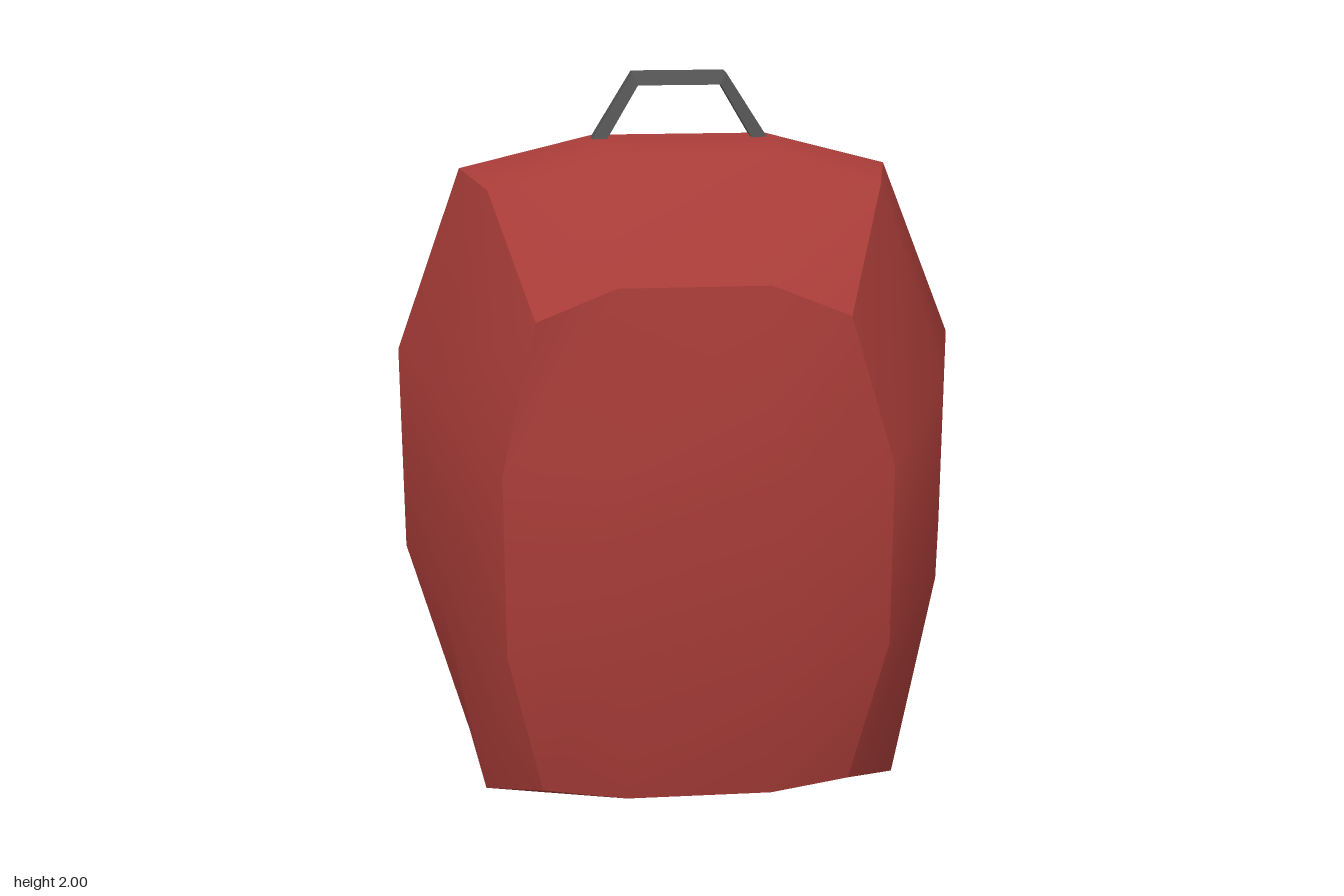
import * as THREE from 'three';

const red = new THREE.MeshStandardMaterial({ color: 0xa83c38 });
const dark = new THREE.MeshStandardMaterial({ color: 0x555555 });

// Patch of quads through rows of points; flat or smooth normals
function patch(name, rows, material, flat = false) {
  const cols = rows[0].length;
  const index = [];
  for (let r = 0; r < rows.length - 1; r++) {
    for (let c = 0; c < cols - 1; c++) {
      const a = r * cols + c, b = a + 1, d = a + cols, e = d + 1;
      index.push(a, b, e, a, e, d);
    }
  }
  let geo = new THREE.BufferGeometry();
  geo.setAttribute('position', new THREE.Float32BufferAttribute(rows.flat(2), 3));
  geo.setIndex(index);
  if (flat) geo = geo.toNonIndexed();
  geo.computeVertexNormals();
  const mesh = new THREE.Mesh(geo, material);
  mesh.name = name;
  return mesh;
}

// Bent band with a trapezoid section: the outer face is narrower than the inner
function band(name, outer, inner, wOuter, wInner, place) {
  const rows = outer.map((o, i) => {
    const n = inner[i];
    const ring = [place(o, wOuter), place(o, -wOuter), place(n, -wInner), place(n, wInner)];
    return [...ring, ring[0]];
  });
  return patch(name, rows, dark, true);
}

function buildBody() {
  const body = new THREE.Group();
  body.name = 'body';
  const backZ = -0.285;

  // Half outline per level, from back corner round to the front: [x, y, z]
  const levels = [
    [[0.58, 0, backZ], [0.64, 0, -0.15], [0.59, 0, 0.3], [0.43, 0.07, 0.47], [0.2, 0.075, 0.55]],
    [[0.735, 0.57, backZ], [0.81, 0.61, -0.155], [0.7, 0.6, 0.3], [0.52, 0.51, 0.555], [0.21, 0.53, 0.63]],
    [[0.735, 1.14, backZ], [0.81, 1.21, -0.155], [0.7, 1.2, 0.3], [0.52, 1.02, 0.555], [0.21, 1.06, 0.63]],
    [[0.55, 1.61, backZ], [0.605, 1.73, -0.08], [0.525, 1.73, 0.3], [0.41, 1.43, 0.555], [0.2, 1.515, 0.555]],
  ];
  // Full outline, right to left; the right rear edge is straight and the top leans slightly
  const rings = levels.map((half, r) => {
    const shift = r === 3 ? -0.015 : 0;
    const right = half.map(([x, y, z], i) => [-x + shift, y, i === 1 ? -0.085 : z]);
    const left = half.map(([x, y, z]) => [x + shift, y, z]).reverse();
    return [...right, ...left];
  });
  const slice = (a, b) => rings.map((ring) => ring.slice(a, b));
  const [base, , , top] = rings;
  const across = (ring, i, x, y, z) => [ring[i], [-x, y, z], [x, y, z], ring[9 - i]];

  // Front and sides
  body.add(patch('frontPanel', slice(3, 7), red));
  body.add(patch('rightSide', slice(1, 4), red));
  body.add(patch('leftSide', slice(6, 9), red));

  // Top, running from the front brow to the rear edge
  const rearEdge = across(top, 1, 0.245, 1.82, -0.08);
  body.add(patch('topPanel', [top.slice(3, 7), across(top, 2, 0.22, 1.82, 0.3), rearEdge], red));

  // Bevels around the back
  body.add(patch('rightBackBevel', slice(0, 2), red, true));
  body.add(patch('leftBackBevel', slice(8, 10), red, true));
  const backTop = across(top, 0, 0.24, 1.7, backZ);
  body.add(patch('topBackBevel', [rearEdge, backTop], red, true));

  // Flat back
  const backRows = rings.map((ring) => [ring[9], ring[0]]);
  backRows.push([backTop[2], backTop[1]]);
  body.add(patch('backPanel', backRows, red, true));

  // Underside with a turned-up front lip
  body.add(patch('bottom', [
    across(base, 0, 0.2, 0, backZ), across(base, 1, 0.2, 0, -0.12),
    across(base, 2, 0.2, 0, 0.3), base.slice(3, 7),
  ], red, true));
  return body;
}

export function createModel() {
  const model = new THREE.Group();
  model.name = 'backpack';
  model.add(buildBody());

  // Carry handle, path in x and y
  model.add(band('handle',
    [[0.245, 1.815], [0.125, 2], [-0.135, 2], [-0.25, 1.815]],
    [[0.2, 1.815], [0.11, 1.967], [-0.12, 1.967], [-0.21, 1.815]],
    0.033, 0.046, ([x, y], w) => [x, y, w - 0.032]));

  // Shoulder straps, path in z and y
  for (const [name, cx] of [['rightStrap', -0.373], ['leftStrap', 0.333]]) {
    model.add(band(name,
      [[-0.28, 0.175], [-0.628, 0.487], [-0.628, 1.175], [-0.28, 1.517]],
      [[-0.28, 0.24], [-0.585, 0.515], [-0.585, 1.15], [-0.28, 1.455]],
      0.087, 0.128, ([z, y], w) => [cx + w, y, z]));
  }
  return model;
}
